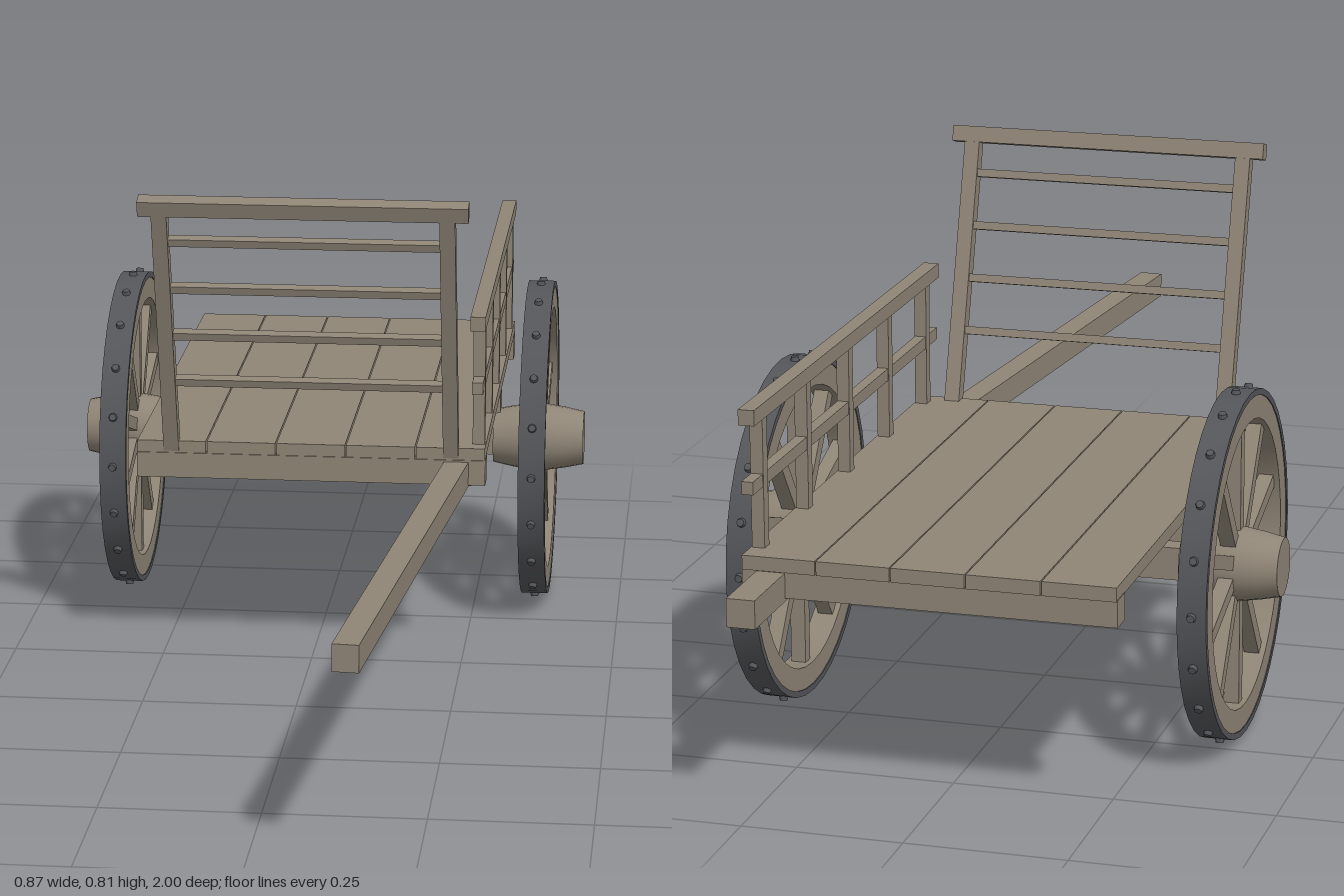
import * as THREE from 'three';
import { toCreasedNormals } from 'three/addons/utils/BufferGeometryUtils.js';

const wood = new THREE.MeshStandardMaterial({ name: 'weathered wood', color: 0x8f8576 });
const iron = new THREE.MeshStandardMaterial({ name: 'dark iron', color: 0x55565a });

function add(parent, name, geometry, material, x = 0, y = 0, z = 0) {
  const mesh = new THREE.Mesh(geometry, material);
  mesh.name = name;
  mesh.position.set(x, y, z);
  parent.add(mesh);
  return mesh;
}

// box given by its limits on each axis
function beam(parent, name, [x0, x1], [y0, y1], [z0, z1]) {
  return add(parent, name, new THREE.BoxGeometry(x1 - x0, y1 - y0, z1 - z0), wood,
    (x0 + x1) / 2, (y0 + y1) / 2, (z0 + z1) / 2);
}

// turned shape about the x axis
function turned(profile, segments) {
  const points = profile.map(([r, h]) => new THREE.Vector2(r, h));
  const g = new THREE.LatheGeometry(points, segments).rotateZ(-Math.PI / 2);
  return toCreasedNormals(g, 0.6);
}

function ring(inner, outer, half) {
  return turned([[inner, -half], [outer, -half], [outer, half], [inner, half], [inner, -half]], 40);
}

function createWheel() {
  const wheel = new THREE.Group();
  wheel.name = 'wheel';
  add(wheel, 'rim', ring(0.226, 0.263, 0.021), wood);
  add(wheel, 'tyre', ring(0.262, 0.272, 0.0225), iron);
  add(wheel, 'hub', turned([[0, -0.078], [0.046, -0.078], [0.053, -0.045], [0.058, -0.012],
    [0.058, 0.012], [0.053, 0.045], [0.046, 0.078], [0, 0.078]], 24), wood);
  const spoke = new THREE.BoxGeometry(0.024, 0.195, 0.022).translate(0, 0.137, 0);
  for (let i = 0; i < 10; i++) {
    add(wheel, 'spoke', spoke, wood).rotation.x = Math.PI + i * Math.PI / 5;
  }
  // nail heads around the tyre
  const stud = new THREE.CylinderGeometry(0.006, 0.008, 0.008, 8).translate(0, 0.274, 0);
  for (let i = 0; i < 20; i++) {
    add(wheel, 'stud', stud, iron).rotation.x = i * Math.PI / 10;
  }
  return wheel;
}

// ladder frame leaning forward over the front edge
function createHeadboard() {
  const board = new THREE.Group();
  board.name = 'headboard';
  for (const s of [-1, 1]) {
    add(board, 'headboardPost', new THREE.BoxGeometry(0.025, 0.45, 0.024), wood, s * 0.231, 0.215, 0);
  }
  add(board, 'headboardTopRail', new THREE.BoxGeometry(0.53, 0.026, 0.026), wood, 0, 0.451, 0);
  for (let i = 0; i < 4; i++) {
    add(board, 'headboardSlat', new THREE.BoxGeometry(0.44, 0.013, 0.016), wood, 0, 0.125 + i * 0.0875, 0);
  }
  board.position.set(0, 0.366, 0.008);
  board.rotation.x = 0.3;
  return board;
}

export function createModel() {
  const cart = new THREE.Group();
  cart.name = 'cart';

  // bed of five planks on cross beams
  const width = 0.1152;
  for (let i = 0; i < 5; i++) {
    const x = -0.288 + i * width;
    beam(cart, 'plank', [x + 0.001, x + width - 0.001], [0.353, 0.375], [-0.87, 0.018]);
  }
  for (const z of [0, -0.43, -0.847]) {
    beam(cart, 'crossBeam', [-0.288, 0.288], [0.313, 0.355], [z - 0.021, z + 0.02]);
  }

  // shaft: straight under the bed, angled inward in front
  beam(cart, 'rearShaft', [0.221, 0.265], [0.308, 0.352], [-1, 0.005]);
  const front = add(cart, 'frontShaft', new THREE.BoxGeometry(0.04, 0.042, 1.003), wood, 0.1955, 0.331, 0.4995);
  front.rotation.y = -0.093;

  // side railing on the left
  beam(cart, 'topRail', [0.262, 0.287], [0.576, 0.6], [-0.873, 0.032]);
  beam(cart, 'middleRail', [0.266, 0.284], [0.47, 0.49], [-0.873, 0.032]);
  for (let i = 0; i < 5; i++) {
    const z = -0.02 - i * 0.2;
    beam(cart, 'railPost', [0.265, 0.285], [0.365, 0.58], [z - 0.01, z + 0.01]);
  }

  cart.add(createHeadboard());

  // axle and wheels
  beam(cart, 'axle', [-0.29, 0.29], [0.251, 0.303], [-0.453, -0.397]);
  for (const s of [-1, 1]) {
    const wheel = createWheel();
    wheel.position.set(s * 0.355, 0.278, -0.425);
    cart.add(wheel);
  }
  return cart;
}
